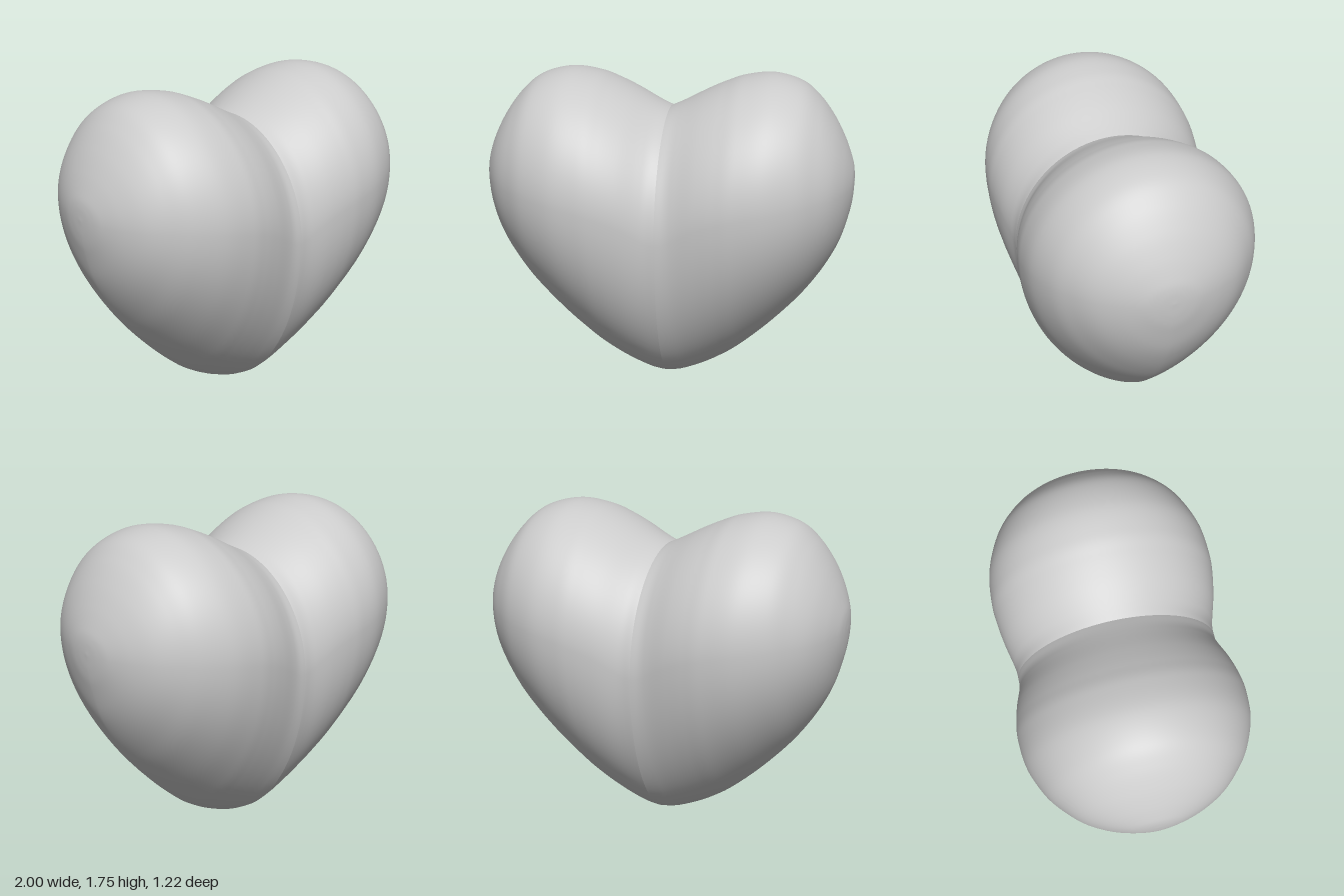
import * as THREE from 'three';

// Upright slices from the middle to the outer side: x, top, bottom, half depth, height of widest point
const slices = [
  [0, 1.555, 0, 0.55, 0.96], [0.05, 1.578, 0.004, 0.551, 0.97], [0.1, 1.603, 0.015, 0.56, 1.0],
  [0.2, 1.655, 0.055, 0.586, 1.06], [0.3, 1.70, 0.11, 0.604, 1.1], [0.4, 1.735, 0.18, 0.61, 1.13],
  [0.55, 1.753, 0.315, 0.592, 1.16], [0.7, 1.715, 0.475, 0.53, 1.18], [0.8, 1.635, 0.605, 0.455, 1.19],
  [0.88, 1.53, 0.735, 0.37, 1.19], [0.94, 1.42, 0.865, 0.265, 1.19], [0.98, 1.32, 1.01, 0.155, 1.19],
  [0.995, 1.26, 1.10, 0.077, 1.19], [1, 1.19, 1.19, 0, 1.19],
];

const spline = (pick) => new THREE.CatmullRomCurve3(
  slices.map((s) => new THREE.Vector3(...pick(s))), false, 'catmullrom', 0.5);

// One lobe, lofted from the middle plane to its outer pole
function lobeGeometry(side) {
  const outline = spline(([x, top, bottom]) => [x, top, bottom]);
  const girth = spline(([x, , , depth, mid]) => [x, depth, mid]);
  const rings = 104, around = 96;
  const positions = [], index = [];
  for (let i = 0; i <= rings; i++) {
    const { x, y: top, z: bottom } = outline.getPoint(i / rings);
    const { y: depth, z: mid } = girth.getPoint(i / rings);
    const taper = 1.2 + 0.8 * x * (1 - x);
    for (let j = 0; j < around; j++) {
      const a = (j / around) * Math.PI * 2;
      const c = Math.cos(a), s = Math.sin(a);
      // Elliptical above the widest point, tapering like an egg below it
      const y = mid + s * (s > 0 ? top - mid : mid - bottom);
      const z = depth * Math.sign(c) * Math.abs(c) ** (s < 0 ? taper : 1);
      positions.push(side * x, y, z);
    }
  }
  for (let i = 0; i < rings; i++) {
    for (let j = 0; j < around; j++) {
      const k = (j + 1) % around;
      const a = i * around + j, b = i * around + k;
      const c = a + around, d = b + around;
      if (side > 0) index.push(a, c, b, b, c, d);
      else index.push(a, b, c, b, d, c);
    }
  }
  const geometry = new THREE.BufferGeometry();
  geometry.setAttribute('position', new THREE.Float32BufferAttribute(positions, 3));
  geometry.setIndex(index);
  geometry.computeVertexNormals();
  // The pole points straight outward
  const normal = geometry.attributes.normal;
  for (let j = 0; j < around; j++) normal.setXYZ(rings * around + j, side, 0, 0);
  return geometry;
}

export function createModel() {
  const heart = new THREE.Group();
  heart.name = 'heart';
  const material = new THREE.MeshStandardMaterial({ color: 0xcccccc });
  for (const side of [1, -1]) {
    const lobe = new THREE.Mesh(lobeGeometry(side), material);
    lobe.name = side > 0 ? 'leftLobe' : 'rightLobe';
    heart.add(lobe);
  }
  return heart;
}
